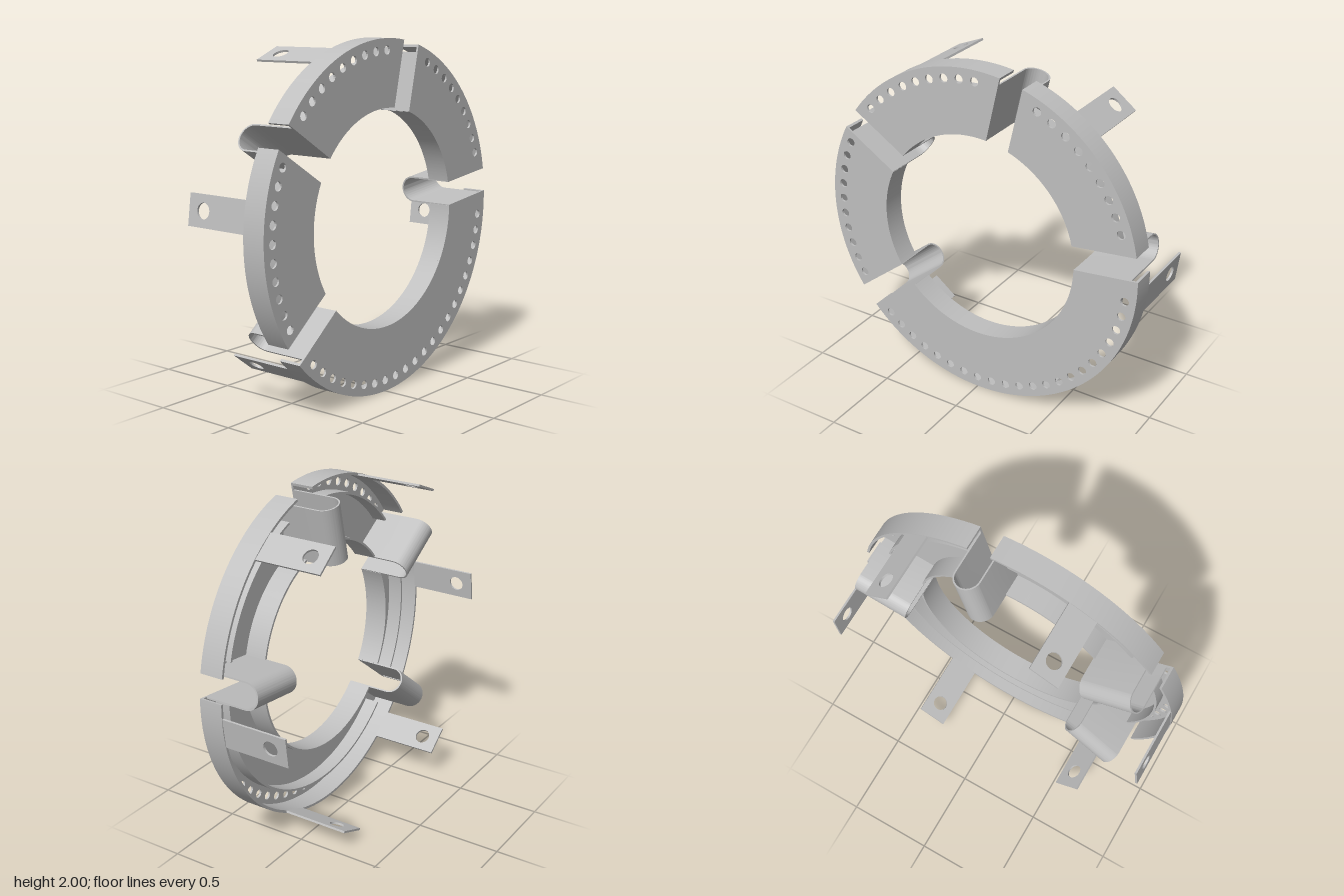
import * as THREE from 'three';
import { toCreasedNormals } from 'three/addons/utils/BufferGeometryUtils.js';

const DEG = Math.PI / 180;
const FRONT = 0.27, BACK = 0.13, SHEET = 0.012;
const GAPS = [6.4, 77, 147.8, 218.5];      // directions of the U-shaped channels
const HALF_GAP = 0.07;

export function createModel() {
  const metal = new THREE.MeshStandardMaterial({ color: 0xbfbfbf });
  metal.name = 'grey metal';

  const model = new THREE.Group();
  model.name = 'segmentedRing';
  const hub = new THREE.Group();
  hub.name = 'ringAssembly';
  hub.position.y = 1;
  model.add(hub);

  function add(name, geometry, parent = hub) {
    const mesh = new THREE.Mesh(toCreasedNormals(geometry, 0.5), metal);
    mesh.name = name;
    parent.add(mesh);
    return mesh;
  }

  // Ring sector between two channels; its ends run parallel to the channels
  function sector(a0, a1, rIn, rOut, half) {
    const trim = (r) => Math.asin(half / r);
    const s = new THREE.Shape();
    s.absarc(0, 0, rOut, a0 + trim(rOut), a1 - trim(rOut), false);
    s.absarc(0, 0, rIn, a1 - trim(rIn), a0 + trim(rIn), true);
    s.closePath();
    return s;
  }
  function slab(shape, z0, z1) {
    const g = new THREE.ExtrudeGeometry(shape, { depth: z1 - z0, bevelEnabled: false, curveSegments: 40 });
    return g.translate(0, 0, z0);
  }

  // Profile drawn as (tangent, z) and extruded outwards along the radius
  const basis = new THREE.Matrix4().makeBasis(
    new THREE.Vector3(0, 1, 0), new THREE.Vector3(0, 0, 1), new THREE.Vector3(1, 0, 0));
  function radial(shape, r0, r1) {
    const g = new THREE.ExtrudeGeometry(shape, { depth: r1 - r0, bevelEnabled: false, curveSegments: 24 });
    return g.applyMatrix4(basis).translate(r0, 0, 0);
  }

  // Four hollow ring segments: face plate with holes, two walls and a rib
  GAPS.forEach((start, i) => {
    const end = i < 3 ? GAPS[i + 1] : GAPS[0] + 360;
    const a0 = start * DEG, a1 = end * DEG;
    const segment = new THREE.Group();
    segment.name = 'segment' + (i + 1);
    hub.add(segment);

    const face = sector(a0, a1, 0.62, 1, HALF_GAP);
    for (let d = 0; d < 420; d += 6) {
      if (d < start + 8 || d > end - 8) continue;
      const hole = new THREE.Path();
      hole.absarc(0.935 * Math.cos(d * DEG), 0.935 * Math.sin(d * DEG), 0.025, 0, Math.PI * 2, true);
      face.holes.push(hole);
    }
    add('facePlate', slab(face, FRONT - SHEET, FRONT), segment);
    add('outerWall', slab(sector(a0, a1, 0.985, 1, HALF_GAP), BACK, FRONT - SHEET), segment);
    add('innerWall', slab(sector(a0, a1, 0.62, 0.633, 0.075), BACK, FRONT - SHEET), segment);
    add('rib', slab(sector(a0, a1, 0.872, 0.885, 0.12), 0.17, FRONT - SHEET), segment);
  });

  // U-shaped channels bridging the gaps
  const u = new THREE.Shape();
  const top = FRONT - SHEET, outer = HALF_GAP + 0.009, bend = 0.007;
  u.moveTo(-outer, top);
  u.lineTo(-outer, bend);
  u.absarc(0, bend, outer, Math.PI, Math.PI * 2, false);
  u.lineTo(outer, top);
  u.lineTo(HALF_GAP, top);
  u.absarc(0, bend, HALF_GAP, Math.PI * 2, Math.PI, true);
  u.lineTo(-HALF_GAP, top);
  u.closePath();
  for (const angle of GAPS) {
    add('channel', radial(u, 0.617, 0.955)).rotation.z = angle * DEG;
  }

  // Six flat mounting tabs with a bolt hole
  const tab = new THREE.Shape();
  tab.moveTo(-0.088, -0.27);
  tab.lineTo(0.088, -0.27);
  tab.lineTo(0.088, BACK + 0.005);
  tab.lineTo(-0.088, BACK + 0.005);
  tab.closePath();
  const bolt = new THREE.Path();
  bolt.absarc(0, -0.167, 0.044, 0, Math.PI * 2, true);
  tab.holes.push(bolt);
  for (let i = 0; i < 6; i++) {
    add('mountingTab', radial(tab, 0.982, 0.994)).rotation.z = (52.5 + 60 * i) * DEG;
  }

  return model;
}
